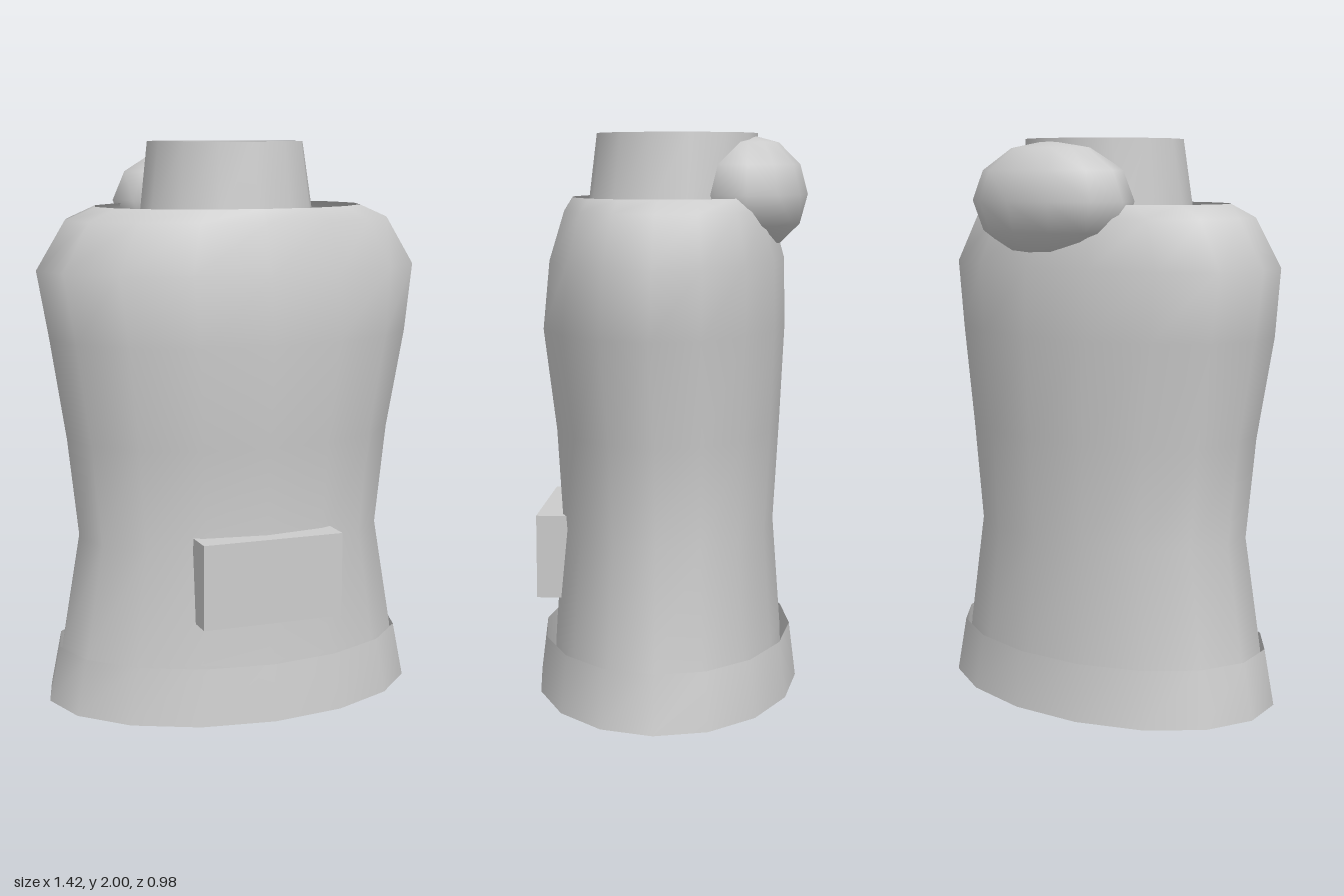
import * as THREE from 'three';

// Open tube through elliptical rings [y, halfX, zFront, zBack]; vertices start at the front
function loft(rings, sides) {
  const pos = [], index = [];
  for (const [y, rx, zf, zb] of rings) {
    const cz = (zf + zb) / 2, rz = (zf - zb) / 2;
    for (let i = 0; i < sides; i++) {
      const a = (i / sides) * Math.PI * 2;
      pos.push(Math.sin(a) * rx, y, cz + Math.cos(a) * rz);
    }
  }
  for (let r = 0; r < rings.length - 1; r++) {
    for (let i = 0; i < sides; i++) {
      const j = (i + 1) % sides;
      const a = r * sides + i, b = r * sides + j, c = a + sides, d = b + sides;
      index.push(a, b, d, a, d, c);
    }
  }
  const geo = new THREE.BufferGeometry();
  geo.setAttribute('position', new THREE.Float32BufferAttribute(pos, 3));
  geo.setIndex(index);
  geo.computeVertexNormals();
  return geo;
}

export function createModel() {
  const model = new THREE.Group();
  model.name = 'hoodedTop';
  const cloth = new THREE.MeshStandardMaterial({ color: 0xcccccc, side: THREE.DoubleSide });
  cloth.name = 'grey cloth';

  const add = (name, geo) => {
    const mesh = new THREE.Mesh(geo, cloth);
    mesh.name = name;
    model.add(mesh);
    return mesh;
  };

  // Torso: narrow waist, wide shoulders, open neck and bottom
  add('torso', loft([
    [0.06, 0.655, 0.435, -0.41],
    [0.2, 0.64, 0.43, -0.405],
    [0.6, 0.57, 0.4, -0.375],
    [0.96, 0.61, 0.42, -0.395],
    [1.32, 0.67, 0.463, -0.412],
    [1.56, 0.71, 0.436, -0.407],
    [1.73, 0.605, 0.385, -0.36],
    [1.775, 0.495, 0.357, -0.335],
  ], 16));

  // Flared hem band, open at both ends
  add('hem', loft([
    [0, 0.69, 0.49, -0.465],
    [0.2, 0.65, 0.465, -0.44],
  ], 16));

  // Collar leaning slightly back
  add('collar', loft([
    [1.71, 0.318, 0.304, -0.31],
    [2, 0.28, 0.268, -0.31],
  ], 14));

  // Bundled hood behind the neck
  const hood = add('hood', new THREE.SphereGeometry(1, 12, 6));
  hood.scale.set(0.345, 0.21, 0.21);
  hood.position.set(0, 1.785, -0.28);

  // Front pocket
  const pocket = add('pocket', new THREE.BoxGeometry(0.515, 0.3, 0.115));
  pocket.position.set(0, 0.5, 0.4075);

  return model;
}
